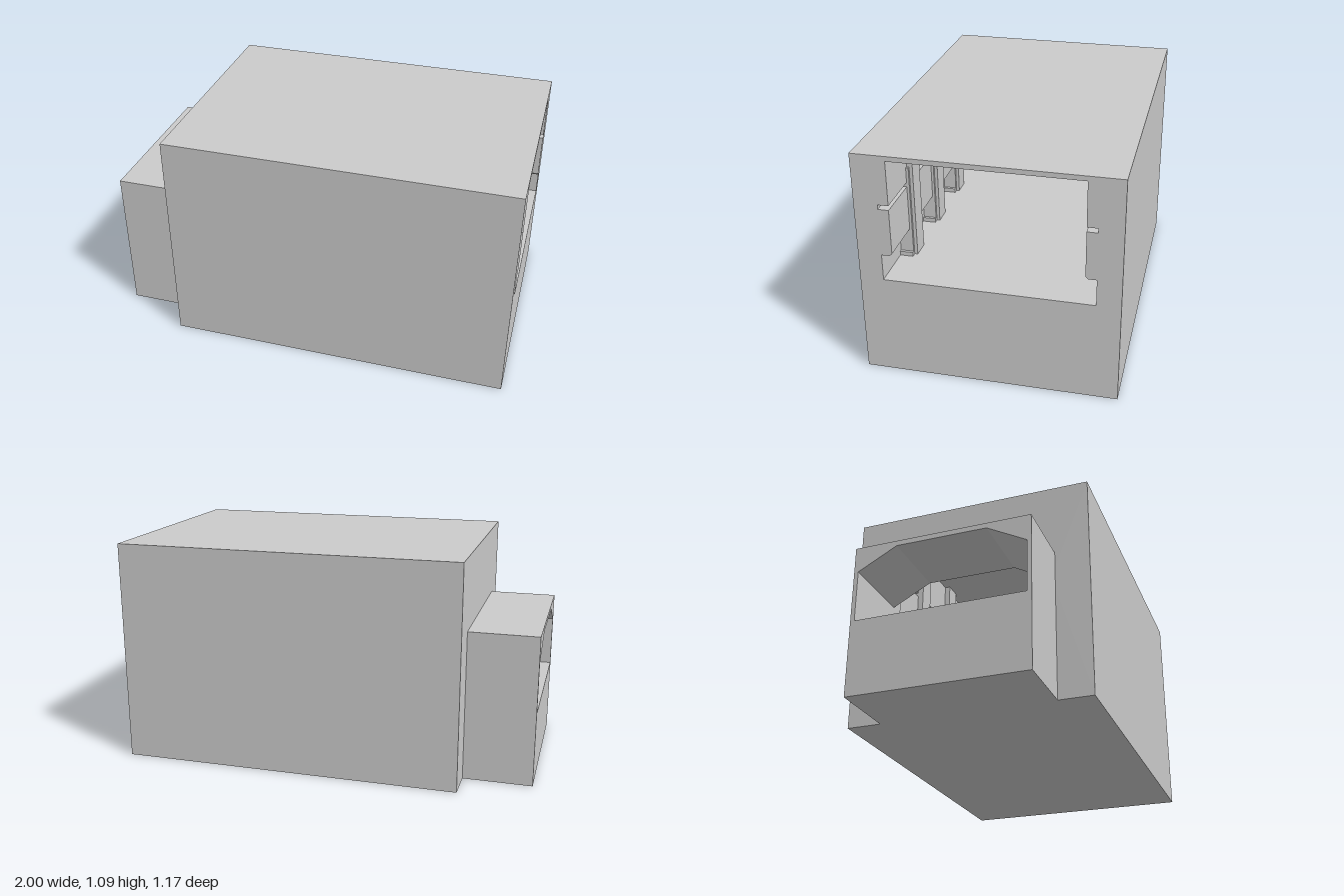
import * as THREE from 'three';

const material = new THREE.MeshStandardMaterial({ color: 0xcccccc, flatShading: true });

// Closed path mirrored about the centre line, from points of one half listed bottom to top
function mirrored(PathClass, half) {
  const other = half.map(([u, v]) => [-u, v]).reverse();
  return new PathClass([...half, ...other].map(([u, v]) => new THREE.Vector2(u, v)));
}

// Extrude a cross-section (z across, y up) with one hole along x
function section(name, outer, hole, x0, x1) {
  const shape = mirrored(THREE.Shape, outer);
  shape.holes.push(mirrored(THREE.Path, hole));
  const geometry = new THREE.ExtrudeGeometry(shape, { depth: x1 - x0, bevelEnabled: false });
  geometry.rotateY(Math.PI / 2).translate(x0, 0, 0);
  const mesh = new THREE.Mesh(geometry, material);
  mesh.name = name;
  return mesh;
}

function box(name, x0, x1, y0, y1, z0, z1) {
  const mesh = new THREE.Mesh(new THREE.BoxGeometry(x1 - x0, y1 - y0, z1 - z0), material);
  mesh.position.set((x0 + x1) / 2, (y0 + y1) / 2, (z0 + z1) / 2);
  mesh.name = name;
  return mesh;
}

export function createModel() {
  const model = new THREE.Group();
  model.name = 'housing';

  const bodyOuter = [[0.585, 0], [0.585, 1.085]];
  const neckOuter = [[0.42, 0], [0.42, 0.73]];
  // Cavity with a low side recess and a narrow slot above it
  const cavity = [
    [0.476, 0.48], [0.476, 0.606], [0.438, 0.606], [0.427, 0.617], [0.427, 0.832],
    [0.476, 0.832], [0.476, 0.853], [0.427, 0.853], [0.427, 1.062],
  ];
  // Tunnel with chamfered top corners and a lower floor
  const tunnel = [[0.4, 0.36], [0.4, 0.606], [0.215, 0.705]];

  model.add(section('body', bodyOuter, cavity, -0.642, 1));
  model.add(section('endWall', bodyOuter, tunnel, -0.667, -0.642));
  model.add(section('neck', neckOuter, tunnel, -1, -0.667));

  // Posts dividing the side walls into equal bays
  for (let i = 0; i < 5; i++) {
    const x1 = 0.757 - i / 3;
    const x0 = Math.max(x1 - 0.09, -0.642);
    for (const side of [-1, 1]) {
      const rib = new THREE.Group();
      rib.name = 'post';
      const add = (name, a, b, y0, y1, inner) => rib.add(
        box(name, a, b, y0, y1, side > 0 ? inner : -0.478, side > 0 ? 0.478 : -inner));
      add('postCore', x0, x1, 0.478, 1.064, 0.4);
      add('postStep', x1 - 0.01, x1 + 0.012, 0.478, 0.925, 0.415);
      add('postFoot', x1 - 0.01, x1 + 0.025, 0.478, 0.5, 0.415);
      model.add(rib);
    }
  }
  return model;
}
